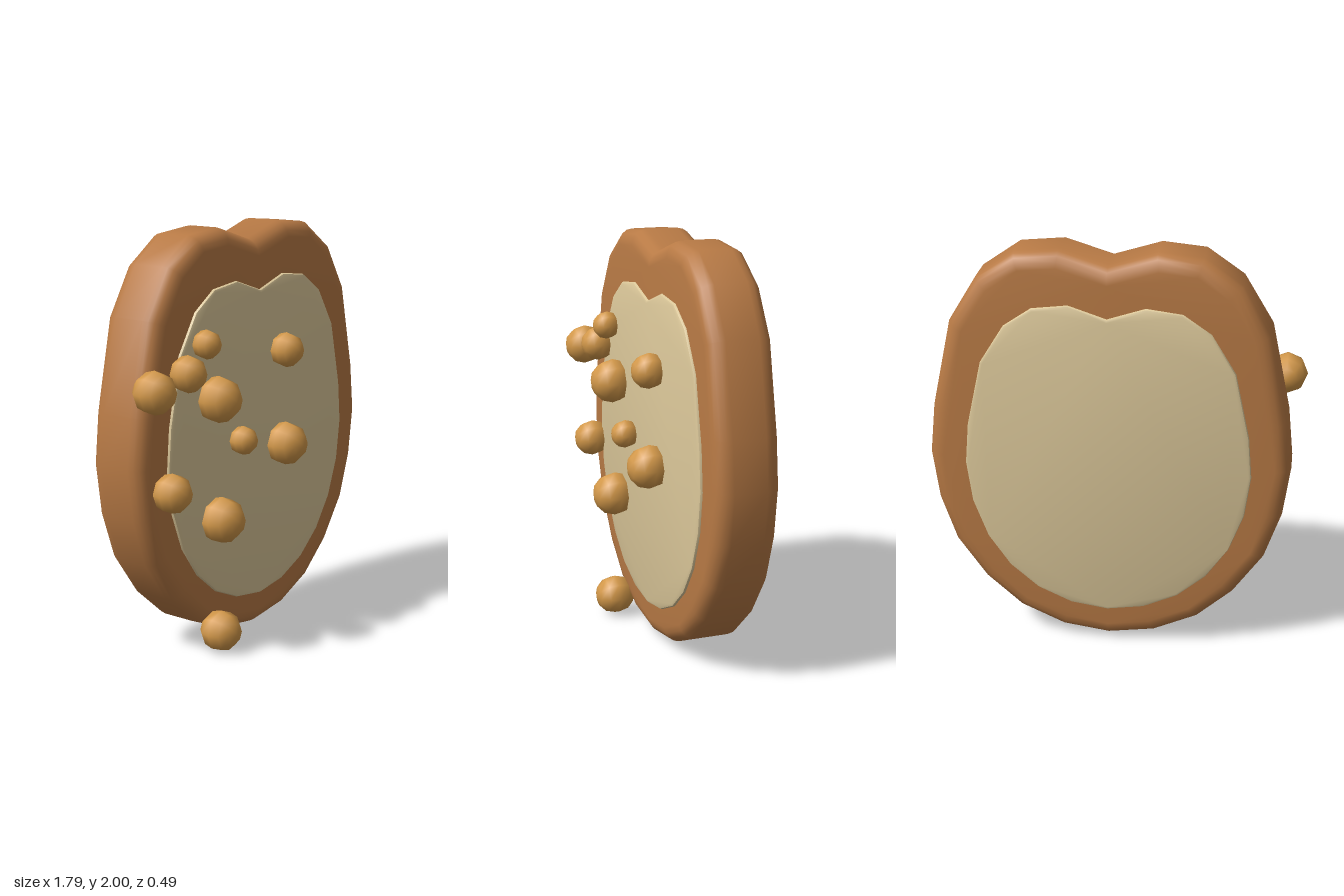
import * as THREE from 'three';
import { toCreasedNormals } from 'three/addons/utils/BufferGeometryUtils.js';

const CENTRE_X = 0.024;

// Right half of each outline, from the top notch down to the bottom centre
const CRUST = [[0, 1.93], [0.226, 2], [0.435, 1.98], [0.613, 1.857], [0.75, 1.632], [0.841, 1.21], [0.866, 0.97],
  [0.833, 0.725], [0.756, 0.5], [0.613, 0.298], [0.439, 0.145], [0.226, 0.05], [0, 0.018]];
const CRUMB = [[0, 1.695], [0.179, 1.754], [0.349, 1.733], [0.481, 1.643], [0.596, 1.458], [0.666, 1.14], [0.683, 0.94],
  [0.656, 0.738], [0.587, 0.553], [0.481, 0.4], [0.344, 0.283], [0.179, 0.209], [0, 0.182]];

// Mirrored outline extruded between two depths with a rounded rim
function slab(name, half, zBack, zFront, bevel, segments, color) {
  const mirrored = half.slice(1, -1).reverse().map(([x, y]) => [-x, y]);
  const outline = [...half, ...mirrored].map(([x, y]) => new THREE.Vector2(x + CENTRE_X, y));
  const geometry = new THREE.ExtrudeGeometry(new THREE.Shape(outline), {
    depth: zFront - zBack - 2 * bevel,
    bevelThickness: bevel,
    bevelSize: bevel,
    bevelOffset: -bevel,
    bevelSegments: segments,
  });
  geometry.translate(0, 0, zBack + bevel);
  const mesh = new THREE.Mesh(toCreasedNormals(geometry, 0.75), new THREE.MeshStandardMaterial({ color }));
  mesh.name = name;
  return mesh;
}

export function createModel() {
  const model = new THREE.Group();
  model.name = 'breadSlice';

  // Crust with the paler crumb standing slightly proud on both faces
  model.add(slab('crust', CRUST, -0.234, 0.074, 0.075, 4, 0xb87a45));
  model.add(slab('crumb', CRUMB, -0.247, 0.088, 0.014, 2, 0xdcc89a));

  // Loose crumbs on the front: x, y, radius
  const balls = [
    [-0.797, 1.336, 0.1], [-0.569, 1.384, 0.087], [-0.437, 1.5, 0.069], [-0.352, 1.232, 0.111],
    [0.172, 1.389, 0.086], [-0.167, 1.003, 0.07], [0.172, 0.924, 0.108], [-0.685, 0.857, 0.093],
    [-0.33, 0.65, 0.112], [-0.341, 0.103, 0.1],
  ];
  const ballGeometry = new THREE.SphereGeometry(1, 8, 6).rotateX(Math.PI / 2);
  const ballMaterial = new THREE.MeshStandardMaterial({ color: 0xd4994a });
  const looseCrumbs = new THREE.Group();
  looseCrumbs.name = 'looseCrumbs';
  for (const [x, y, r] of balls) {
    const ball = new THREE.Mesh(ballGeometry, ballMaterial);
    ball.name = 'looseCrumb';
    ball.position.set(x, y, 0.128);
    ball.scale.setScalar(r);
    looseCrumbs.add(ball);
  }
  model.add(looseCrumbs);
  return model;
}
